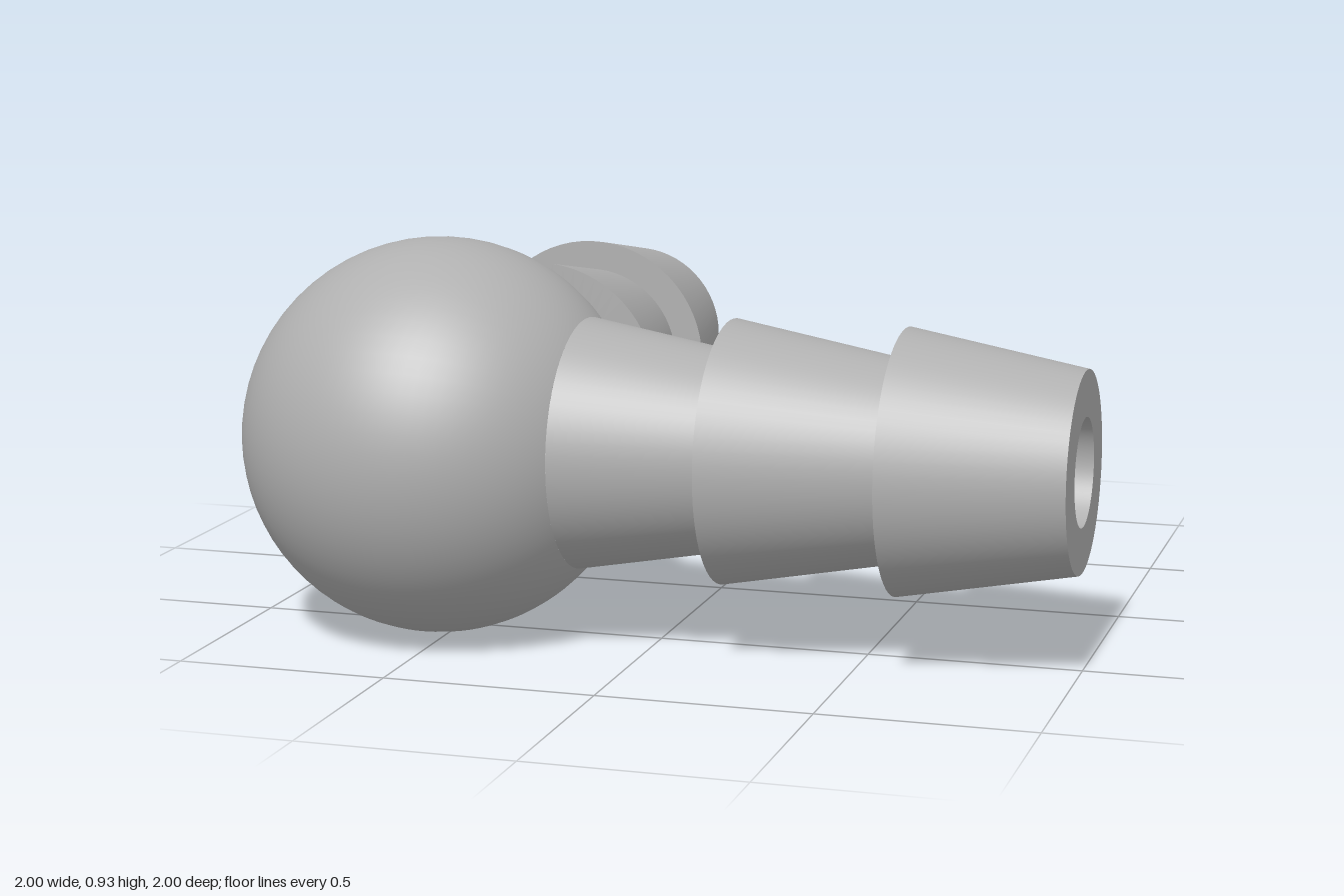
import * as THREE from 'three';
import { ParametricGeometry } from 'three/addons/geometries/ParametricGeometry.js';

const BALL = 0.467;   // ball radius
const BORE = 0.125;   // bore radius
const END = 1.533;    // arm length from the ball centre
const NECK = [0.294, 0.363]; // radius and distance where an arm leaves the ball
const SEG = 64;

export function createModel() {
  const grey = new THREE.MeshStandardMaterial({ color: 0xb0b0b0 });
  grey.name = 'grey plastic';

  const add = (parent, name, geometry) => {
    const mesh = new THREE.Mesh(geometry, grey);
    mesh.name = name;
    parent.add(mesh);
  };

  // One straight band turned about the x axis, from [radius, x] to [radius, x]
  const band = (from, to) =>
    new THREE.LatheGeometry([new THREE.Vector2(...from), new THREE.Vector2(...to)], SEG).rotateZ(-Math.PI / 2);

  // Half of the ball around one arm, open at the neck and ending on the mitre plane
  const halfBall = () => {
    const start = Math.atan2(...NECK);
    return new ParametricGeometry((u, v, p) => {
      const a = u * Math.PI * 2;
      const t = THREE.MathUtils.lerp(start, Math.atan2(1, Math.sin(a)), v);
      p.set(Math.cos(t), Math.sin(t) * Math.cos(a), -Math.sin(t) * Math.sin(a)).multiplyScalar(BALL);
    }, SEG, 24);
  };

  // Bore wall, mitred where it meets the other bore
  const boreWall = () => {
    const g = band([BORE, END], [BORE, 0]);
    const pos = g.attributes.position;
    for (let i = 0; i < pos.count; i++) {
      if (pos.getX(i) < 0.01) pos.setX(i, Math.max(0, -pos.getZ(i)));
    }
    return g;
  };

  // Barbed arm pointing along +x from the ball centre
  const createArm = (name) => {
    const arm = new THREE.Group();
    arm.name = name;
    add(arm, 'halfBall', halfBall());

    // Neck, then two barbs with sharp steps, then the end ring
    const profile = [NECK, [0.232, 0.711], [0.307, 0.711], [0.232, 1.121], [0.307, 1.121], [0.232, END], [BORE, END]];
    const names = ['neck', 'innerStep', 'innerBarb', 'outerStep', 'outerBarb', 'endRing'];
    names.forEach((part, i) => add(arm, part, band(profile[i], profile[i + 1])));

    // Bore with its flat half-round floor
    add(arm, 'bore', boreWall());
    add(arm, 'boreFloor', new THREE.CircleGeometry(BORE, SEG / 2, Math.PI / 2, Math.PI).rotateY(Math.PI / 2));
    return arm;
  };

  const model = new THREE.Group();
  model.name = 'elbowHoseFitting';
  const leftArm = createArm('leftArm');
  const backArm = createArm('backArm');
  // Half turn about the mitre line carries +x onto -z
  backArm.quaternion.setFromAxisAngle(new THREE.Vector3(1, 0, -1).normalize(), Math.PI);
  for (const arm of [leftArm, backArm]) {
    arm.position.set(-0.533, BALL, 0.533);
    model.add(arm);
  }
  return model;
}
